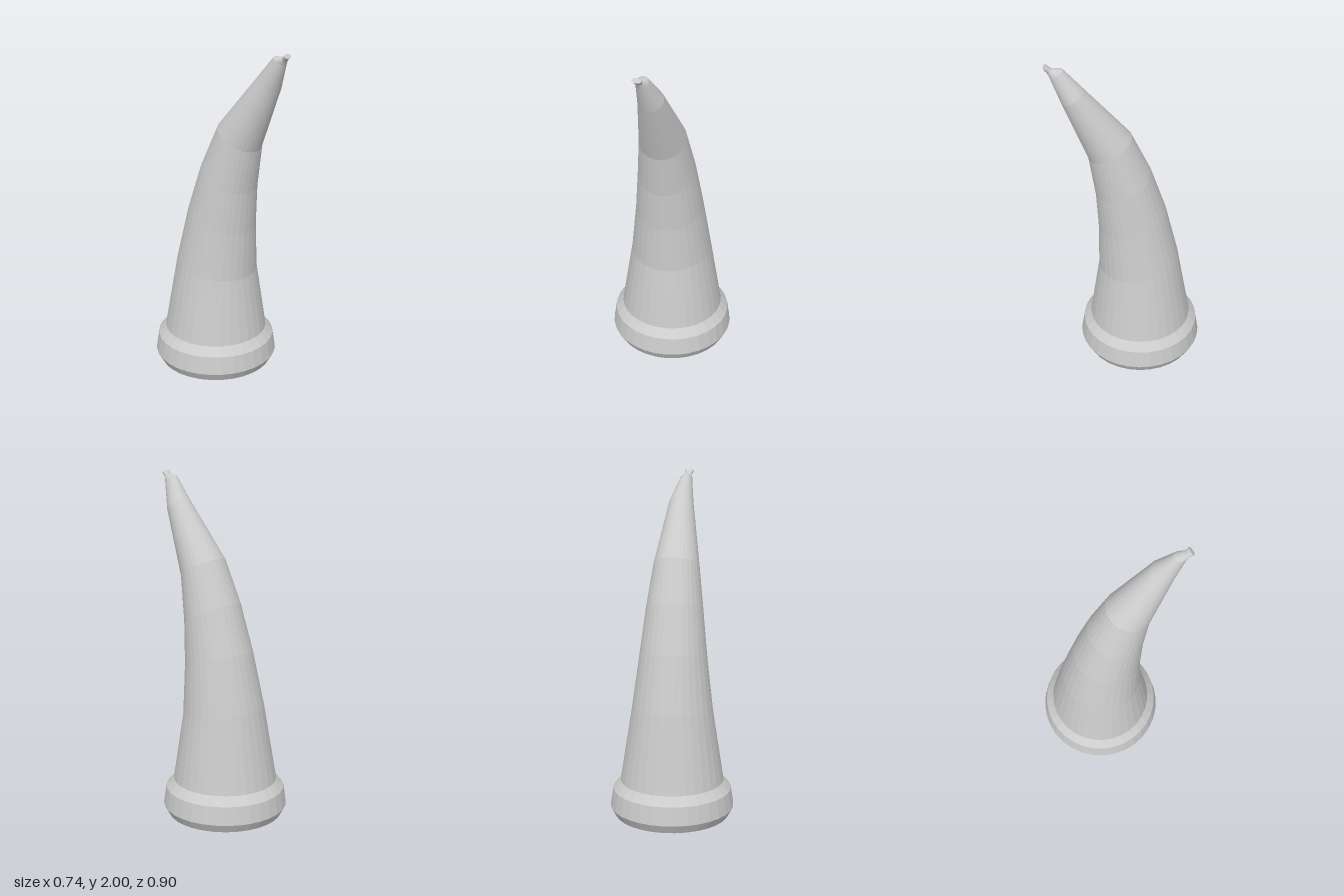
import * as THREE from 'three';

const SIDES = 32;
const material = new THREE.MeshStandardMaterial({ color: 0xcccccc, flatShading: true });

// Lofts tilted rings: [front z, front y, back z, back y, half width, centre x]
function loft(name, rings, capStart, capEnd) {
  const pos = [], index = [];
  for (const [fz, fy, bz, by, rx, cx = 0] of rings) {
    for (let j = 0; j < SIDES; j++) {
      const a = (j / SIDES) * Math.PI * 2, c = Math.cos(a);
      pos.push(
        cx + rx * Math.sin(a),
        (fy + by) / 2 + (c * (fy - by)) / 2,
        (fz + bz) / 2 + (c * (fz - bz)) / 2
      );
    }
  }
  for (let i = 0; i < rings.length - 1; i++) {
    for (let j = 0; j < SIDES; j++) {
      const k = (j + 1) % SIDES, p = i * SIDES, q = p + SIDES;
      index.push(p + j, p + k, q + k, p + j, q + k, q + j);
    }
  }
  // Flat caps as fans
  const top = (rings.length - 1) * SIDES;
  for (let j = 1; j < SIDES - 1; j++) {
    if (capStart) index.push(0, j + 1, j);
    if (capEnd) index.push(top, top + j, top + j + 1);
  }
  const g = new THREE.BufferGeometry();
  g.setAttribute('position', new THREE.Float32BufferAttribute(pos, 3));
  g.setIndex(index);
  const flat = g.toNonIndexed();
  flat.computeVertexNormals();
  const mesh = new THREE.Mesh(flat, material);
  mesh.name = name;
  return mesh;
}

// Level circular ring around the base axis
const level = (y, r) => [-0.083 + r, y, -0.083 - r, y, r];

export function createModel() {
  const group = new THREE.Group();
  group.name = 'horn';

  const collarTop = level(0.21, 0.307);
  const tipStart = [0.363, 1.775, 0.24, 1.852, 0.072];

  // Flared collar at the root
  group.add(loft('baseCollar', [
    level(0, 0.34), level(0.052, 0.368), level(0.16, 0.351), collarTop,
  ], true, false));

  // Curved, tapering shaft
  group.add(loft('hornShaft', [
    collarTop,
    [0.168, 0.6, -0.31, 0.665, 0.24],
    [0.168, 0.89, -0.23, 1.0, 0.2],
    [0.183, 1.14, -0.138, 1.28, 0.17],
    [0.222, 1.4, -0.025, 1.53, 0.136],
    tipStart,
  ], false, false));

  // Narrow, slightly sideways tip with a blunt end
  group.add(loft('hornTip', [
    tipStart,
    [0.42, 1.935, 0.345, 1.973, 0.034, -0.019],
    [0.432, 1.96, 0.405, 1.979, 0.022, -0.026],
    [0.45, 1.979, 0.43, 2.0, 0.027, -0.03],
  ], false, true));

  return group;
}
